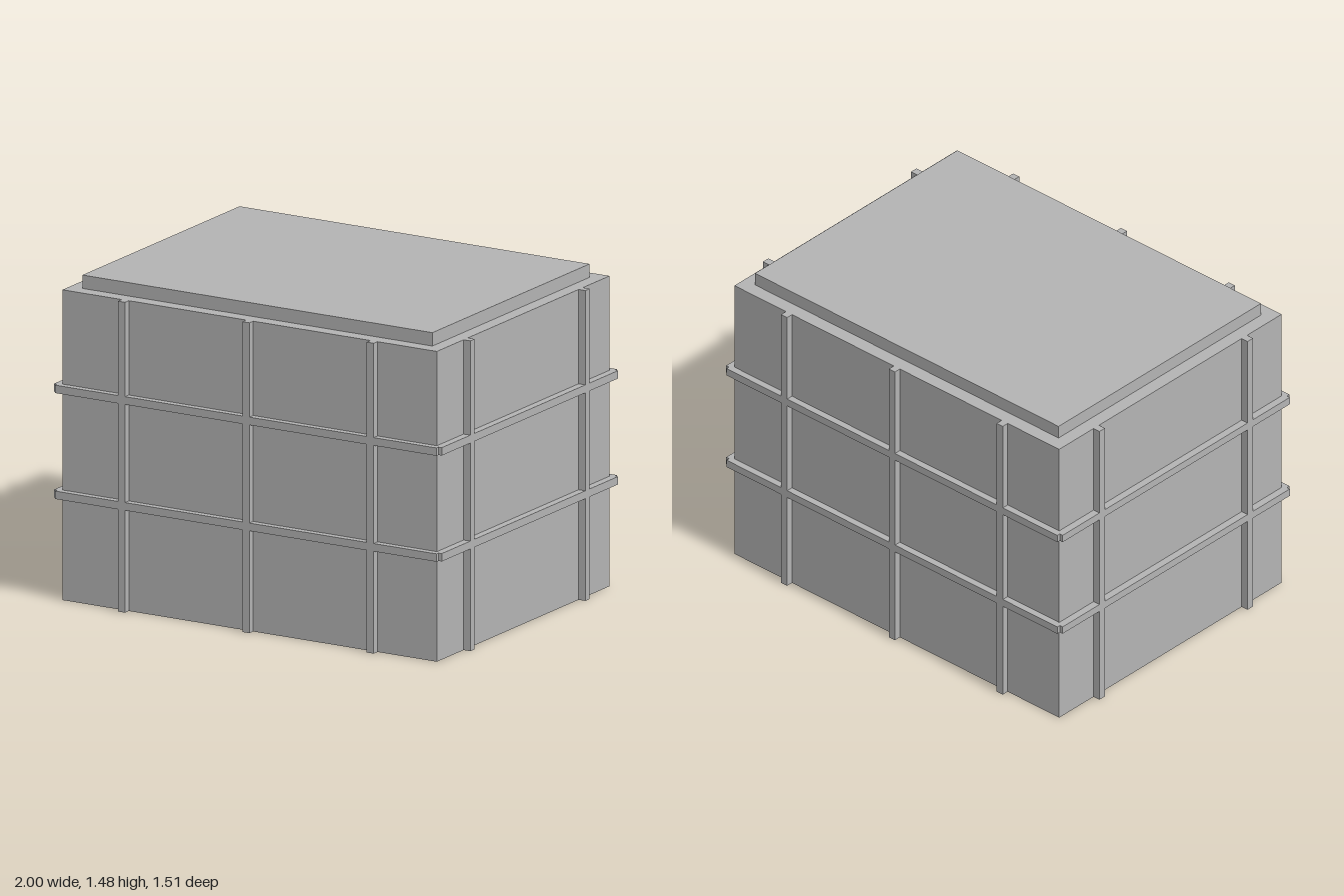
import * as THREE from 'three';

export function createModel() {
  const model = new THREE.Group();
  const grey = new THREE.MeshStandardMaterial({ color: 0xb3b3b3 });
  grey.name = 'plain grey';

  const W = 0.965, D = 0.725;   // half sizes of the body
  const H = 1.415;              // body height
  const RIB = 0.036;            // width of every rib
  const OX = 1.0, OZ = 0.757;   // outer faces of the ribs

  function add(name, geometry, x, y, z) {
    const mesh = new THREE.Mesh(geometry, grey);
    mesh.name = name;
    mesh.position.set(x, y, z);
    model.add(mesh);
  }

  // Body and raised lid
  add('body', new THREE.BoxGeometry(W * 2, H, D * 2), 0, H / 2, 0);
  add('lid', new THREE.BoxGeometry(1.804, 0.061, 1.32), 0, H + 0.0305, 0);

  // Upright ribs: three on the front and back, two on each side
  for (const s of [-1, 1]) {
    for (const x of [-0.641, 0, 0.641]) {
      add(s > 0 ? 'frontRib' : 'backRib',
        new THREE.BoxGeometry(RIB, H, OZ - D), x, H / 2, s * (OZ + D) / 2);
    }
    for (const z of [-0.483, 0.483]) {
      add(s > 0 ? 'leftRib' : 'rightRib',
        new THREE.BoxGeometry(OX - W, H, RIB), s * (OX + W) / 2, H / 2, z);
    }
  }

  // Horizontal bands: a ring with a small step cut from each outer corner
  const nx = 0.983, nz = 0.741;
  const ring = new THREE.Shape([
    [nx, -OZ], [nx, -nz], [OX, -nz], [OX, nz], [nx, nz], [nx, OZ],
    [-nx, OZ], [-nx, nz], [-OX, nz], [-OX, -nz], [-nx, -nz], [-nx, -OZ],
  ].map(([x, y]) => new THREE.Vector2(x, y)));
  ring.holes.push(new THREE.Path([
    [-W, -D], [-W, D], [W, D], [W, -D],
  ].map(([x, y]) => new THREE.Vector2(x, y))));
  const band = new THREE.ExtrudeGeometry(ring, { depth: RIB, bevelEnabled: false });
  band.rotateX(-Math.PI / 2);
  add('lowerBand', band, 0, 0.466, 0);
  add('upperBand', band, 0, 0.949, 0);

  return model;
}
